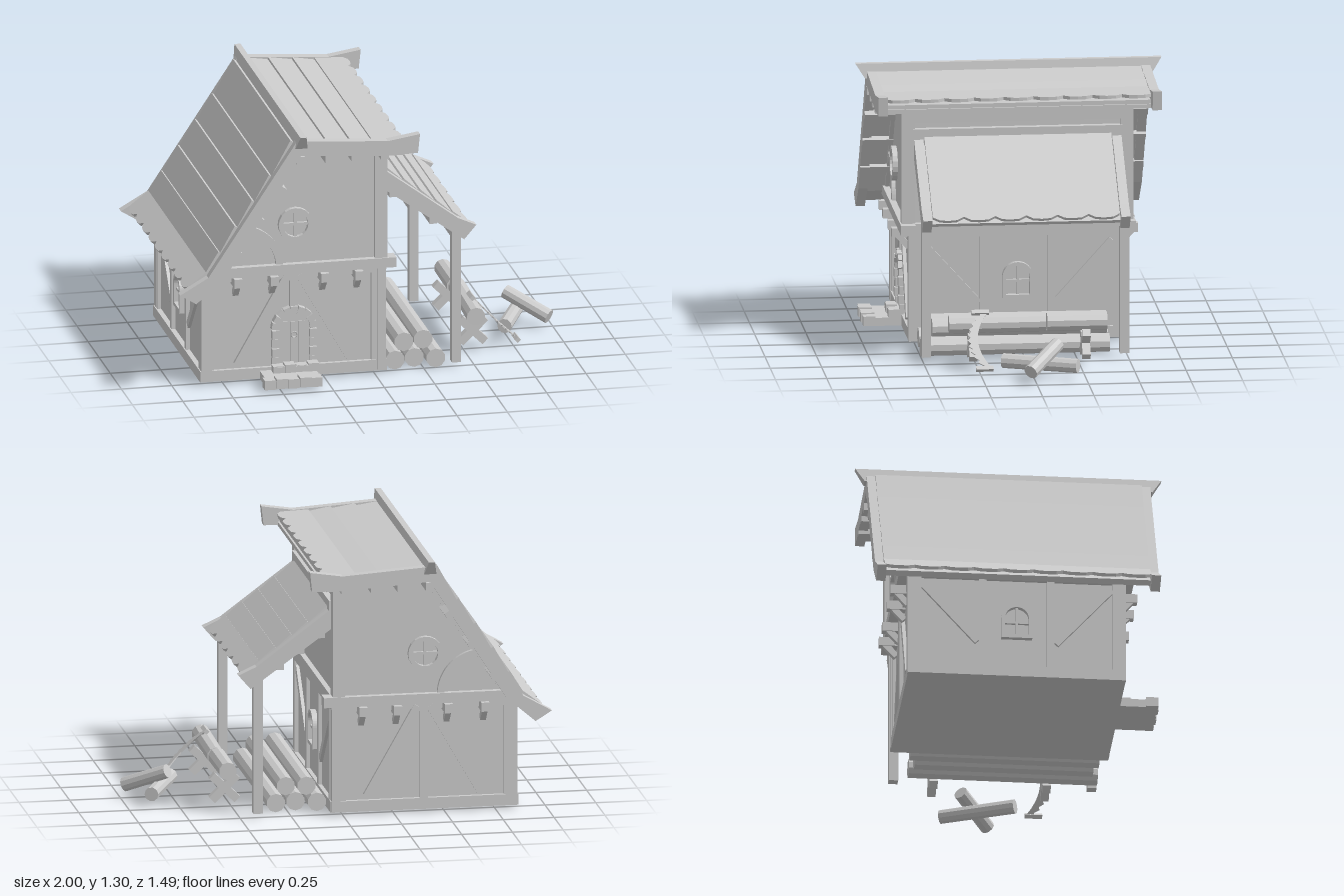
import * as THREE from 'three';

const mat = new THREE.MeshStandardMaterial({ color: 0xcccccc, flatShading: true });
const V = (x, y, z) => new THREE.Vector3(x, y, z);

export function createModel() {
  const root = new THREE.Group();
  root.name = 'cottage';

  const add = (name, geo, parent = root) => {
    const m = new THREE.Mesh(geo, mat);
    m.name = name;
    parent.add(m);
    return m;
  };
  const box = (name, x0, x1, y0, y1, z0, z1, parent = root) => {
    const m = add(name, new THREE.BoxGeometry(x1 - x0, y1 - y0, z1 - z0), parent);
    m.position.set((x0 + x1) / 2, (y0 + y1) / 2, (z0 + z1) / 2);
    return m;
  };
  // Lays a geometry whose long axis is y between two points
  const span = (m, a, b) => {
    m.position.copy(a).add(b).multiplyScalar(0.5);
    m.quaternion.setFromUnitVectors(V(0, 1, 0), b.clone().sub(a).normalize());
    return m;
  };
  const beam = (name, a, b, w, d, parent) =>
    span(add(name, new THREE.BoxGeometry(w, a.distanceTo(b), d), parent), a, b);
  const log = (name, a, b, r) =>
    span(add(name, new THREE.CylinderGeometry(r * 0.96, r, a.distanceTo(b), 10)), a, b);
  const shape = pts => new THREE.Shape(pts.map(p => new THREE.Vector2(p[0], p[1])));
  const extrude = (s, depth) => new THREE.ExtrudeGeometry(s, { depth, bevelEnabled: false, curveSegments: 10 });
  // Polygon in the xy plane, solid from z0 to z1
  const plate = (name, pts, z0, z1, parent) => {
    const m = add(name, extrude(shape(pts), z1 - z0), parent);
    m.position.z = z0;
    return m;
  };

  // Walls
  box('lowerWalls', -0.84, 0.04, 0.015, 0.57, -0.51, 0.51);
  plate('upperWalls', [[-0.81, 0.57], [0.035, 0.57], [0.03, 1.18], [-0.4, 1.2]], -0.54, 0.54);
  for (const z of [-1, 1]) for (const x of [-0.84, 0.035])
    box('cornerPost', x - 0.02, x + 0.02, 0.02, 0.56, z * 0.51 - 0.022, z * 0.51 + 0.022);
  box('baseBeam', -0.865, 0.06, 0.015, 0.07, -0.53, 0.53);

  // Front and back gable timberwork, made once facing +z and turned for the back
  for (const side of [1, -1]) {
    const g = new THREE.Group();
    g.name = side > 0 ? 'frontTimbers' : 'backTimbers';
    root.add(g);
    const zs = (a, b) => side > 0 ? [a, b] : [-b, -a];
    const bx = (n, x0, x1, y0, y1, a, b) => box(n, x0, x1, y0, y1, ...zs(a, b), g);
    bx('floorBeam', -0.86, 0.1, 0.55, 0.6, 0.5, 0.572);
    bx('upperCornerPost', -0.005, 0.055, 0.55, 1.17, 0.5, 0.565);
    bx('collarBeam', -0.39, 0.05, 1.145, 1.18, 0.5, 0.56);
    bx('centrePost', -0.42, -0.38, 0.34, 0.56, 0.5, 0.53);
    for (const x of [-0.81, 0]) bx('wallStud', x - 0.015, x + 0.015, 0.06, 0.55, 0.5, 0.525);
    bx('topRail', -0.84, 0.04, 0.515, 0.55, 0.5, 0.525);
    if (side < 0) bx('backPost', -0.42, -0.38, 0.06, 0.4, 0.5, 0.53);
    for (const m of [-1, 1])
      beam('diagonalBrace', V(-0.4 + m * 0.03, 0.53, side * 0.515), V(-0.4 + m * 0.28, 0.09, side * 0.515), 0.04, 0.025, g);
    beam('gableRafter', V(-0.8, 0.6, side * 0.545), V(-0.41, 1.185, side * 0.545), 0.05, 0.03, g);
    // Jetty joists with knee brackets
    for (const x of [-0.69, -0.51, -0.26, -0.09]) {
      bx('joistEnd', x - 0.02, x + 0.02, 0.505, 0.55, 0.5, 0.6);
      beam('kneeBracket', V(x, 0.455, side * 0.515), V(x, 0.52, side * 0.575), 0.028, 0.03, g);
    }
    // Quarter-round brace
    const arc = new THREE.Shape();
    arc.absarc(-0.68, 0.59, 0.22, 0, Math.PI * 0.55);
    arc.absarc(-0.68, 0.59, 0.185, Math.PI * 0.55, 0, true);
    add('curvedBrace', extrude(arc, 0.03), g).position.z = side > 0 ? 0.53 : -0.56;
    // Round window
    const w = new THREE.Group();
    w.name = 'roundWindow';
    w.position.set(-0.4, 0.8, side * 0.545);
    if (side < 0) w.rotation.y = Math.PI;
    g.add(w);
    const ring = new THREE.Shape().absarc(0, 0, 0.085, 0, Math.PI * 2);
    ring.holes.push(new THREE.Path().absarc(0, 0, 0.062, 0, Math.PI * 2));
    add('windowRing', extrude(ring, 0.025), w);
    box('windowBarUpright', -0.007, 0.007, -0.07, 0.07, 0, 0.015, w);
    box('windowBarLevel', -0.07, 0.07, -0.007, 0.007, 0, 0.015, w);
  }

  // Arched outline: half-width w, height h to the top of the arch
  const arch = (S, w, h, y0 = 0) => {
    const s = new S();
    s.moveTo(-w, y0);
    s.lineTo(w, y0);
    s.lineTo(w, h - w);
    s.absarc(0, h - w, w, 0, Math.PI);
    s.lineTo(-w, y0);
    return s;
  };

  // Side timberwork and arched windows
  for (const side of [1, -1]) {
    const x = side > 0 ? 0.045 : -0.845;
    const bar = (n, y0, y1, z0, z1) => box(n, x - 0.014, x + 0.014, y0, y1, z0, z1);
    bar('sideTopRail', 0.53, 0.57, -0.53, 0.53);
    for (const m of [-1, 1]) {
      bar('sideStud', 0.06, 0.54, m * 0.165 - 0.018, m * 0.165 + 0.018);
      bar('sideEndStud', 0.06, 0.54, m * 0.48 - 0.015, m * 0.48 + 0.015);
      beam('sideBrace', V(x, 0.5, m * 0.46), V(x, 0.2, m * 0.19), 0.022, 0.035);
    }
    const w = new THREE.Group();
    w.name = 'archedWindow';
    w.position.set(x - side * 0.008, 0.22, 0);
    w.rotation.y = side * Math.PI / 2;
    root.add(w);
    const frame = arch(THREE.Shape, 0.075, 0.18);
    frame.holes.push(arch(THREE.Path, 0.058, 0.163, 0.018));
    add('windowFrame', extrude(frame, 0.03), w);
    box('windowBarUpright', -0.006, 0.006, 0.01, 0.17, 0, 0.018, w);
    box('windowBarLevel', -0.06, 0.06, 0.08, 0.092, 0, 0.018, w);
  }
  box('upperSideBeam', 0.03, 0.06, 0.55, 0.6, -0.56, 0.56);
  box('upperSideRail', 0.03, 0.055, 1.1, 1.17, -0.56, 0.56);

  // Door with stone surround and steps
  const door = new THREE.Group();
  door.name = 'door';
  door.position.set(-0.4, 0.075, 0.5);
  root.add(door);
  add('doorLeaf', extrude(arch(THREE.Shape, 0.08, 0.27), 0.025), door);
  for (const x of [-0.04, 0, 0.04]) box('doorBatten', x - 0.016, x + 0.016, 0, 0.22, 0, 0.03, door);
  add('doorRing', new THREE.TorusGeometry(0.014, 0.004, 5, 10), door).position.set(0, 0.155, 0.034);
  for (const m of [-1, 1]) for (let i = 0; i < 4; i++)
    box('jambStone', m * 0.093 - 0.018, m * 0.093 + 0.018, i * 0.046, i * 0.046 + 0.043, 0, 0.04 + (i % 2) * 0.006, door);
  for (let i = 0; i < 9; i++) {
    const a = (i + 0.5) * Math.PI / 9;
    const s = add('archStone', new THREE.BoxGeometry(0.036, 0.034, 0.042 + (i % 2) * 0.006), door);
    s.position.set(0.095 * Math.cos(a), 0.186 + 0.095 * Math.sin(a), 0.022);
    s.rotation.z = a;
  }
  box('lowerStep', -0.57, -0.3, 0.015, 0.055, 0.53, 0.71);
  box('upperStep', -0.51, -0.3, 0.05, 0.085, 0.52, 0.59);
  for (let i = 0; i < 5; i++) {
    const x = -0.585 + i * 0.058;
    box('stepStone', x, x + 0.054, 0.015 + (i % 2) * 0.006, 0.062 + (i % 2) * 0.006, 0.655, 0.715 + (i % 2) * 0.006);
    if (i < 4) box('upperStepStone', x + 0.07, x + 0.122, 0.055, 0.088 + (i % 2) * 0.008, 0.54, 0.585 + (i % 2) * 0.008);
  }

  // One row of scalloped shingles from lower point a up to b (x, y), spanning z -half..half
  const shingleRow = (a, b, half, count, shift) => {
    const up = V(b[0] - a[0], b[1] - a[1], 0);
    const len = up.length() + 0.025, step = 2 * half / count, pts = [];
    up.normalize();
    const normal = V(-up.y, up.x, 0).multiplyScalar(Math.sign(up.x));
    for (let i = -1; i <= count; i++)
      for (const [t, v] of [[0, 0.024], [0.22, 0.004], [0.5, 0], [0.78, 0.004]]) {
        const u = -half + (i + t + shift) * step;
        if (u >= -half - 1e-6 && u <= half + 1e-6) pts.push([u, v]);
      }
    pts.push([half, len], [-half, len]);
    const m = add('shingleRow', extrude(shape(pts), 0.016));
    const x = new THREE.Vector3().crossVectors(up, normal);
    m.quaternion.setFromRotationMatrix(new THREE.Matrix4().makeBasis(x, up, normal));
    m.rotateX(0.09);
    m.position.set(a[0], a[1], 0).addScaledVector(normal, 0.008);
  };
  const shingles = (pts, half, count) => {
    for (let i = 0; i < pts.length - 1; i++) shingleRow(pts[i], pts[i + 1], half, count, (i % 2) * 0.5);
  };

  // Main roof: decks, shingles, barge boards, ridge, purlins
  plate('leftRoofDeck', [[-0.4, 1.2], [-0.4, 1.24], [-0.84, 0.59], [-0.94, 0.52], [-0.92, 0.5], [-0.81, 0.57]], -0.65, 0.65);
  plate('rightRoofDeck', [[-0.4, 1.19], [0.03, 1.17], [0.1, 1.175], [0.1, 1.2], [0.03, 1.195], [-0.4, 1.225]], -0.65, 0.65);
  shingles([[-0.955, 0.515], [-0.86, 0.575], [-0.785, 0.675], [-0.7, 0.8], [-0.615, 0.925], [-0.53, 1.05], [-0.42, 1.215]], 0.648, 9);
  shingles([[0.12, 1.205], [-0.015, 1.198], [-0.13, 1.208], [-0.25, 1.217], [-0.38, 1.225]], 0.648, 9);
  for (const z of [-0.69, 0.645]) {
    plate('leftBargeBoard', [[-0.42, 1.265], [-0.86, 0.6], [-1, 0.52], [-0.92, 0.47], [-0.78, 0.59], [-0.4, 1.19], [-0.39, 1.26]], z, z + 0.045);
    plate('rightBargeBoard', [[-0.41, 1.19], [0.03, 1.16], [0.18, 1.165], [0.19, 1.26], [0.03, 1.235], [-0.41, 1.265]], z, z + 0.045);
  }
  const ridge = new THREE.BoxGeometry(0.06, 0.07, 1.49), rp = ridge.attributes.position;
  for (let i = 0; i < rp.count; i++) {
    if (rp.getY(i) > 0) rp.setX(i, rp.getX(i) * 0.5);
    else rp.setZ(i, rp.getZ(i) * 0.94);
  }
  add('ridgeCap', ridge).position.set(-0.4, 1.265, 0);
  for (const x of [-0.4, -0.26, -0.13, 0.015]) box('roofPurlin', x - 0.02, x + 0.02, 1.145, 1.185, -0.69, 0.69);
  box('eavePurlin', 0.04, 0.11, 1.16, 1.18, -0.69, 0.69);
  for (const [x, y] of [[-0.5, 1.02], [-0.61, 0.87], [-0.72, 0.71]])
    box('slopePurlin', x - 0.02, x + 0.02, y - 0.022, y + 0.022, -0.69, 0.69).rotation.z = 0.99;

  // Lean-to
  plate('leanToDeck', [[0.05, 0.97], [0.41, 0.705], [0.46, 0.675], [0.47, 0.69], [0.42, 0.725], [0.05, 1.0]], -0.47, 0.47);
  shingles([[0.475, 0.69], [0.405, 0.735], [0.32, 0.797], [0.24, 0.857], [0.16, 0.917], [0.06, 0.99]], 0.455, 6);
  for (const z of [-0.505, 0.46]) {
    plate('leanToBargeBoard', [[0.05, 0.93], [0.4, 0.68], [0.45, 0.645], [0.51, 0.715], [0.42, 0.755], [0.05, 1.03]], z, z + 0.045);
    box('leanToPost', 0.39, 0.435, 0.02, 0.69, z, z + 0.045);
  }
  box('leanToWallPlate', 0.03, 0.065, 0.99, 1.07, -0.51, 0.51);
  for (const [x, y] of [[0.41, 0.67], [0.3, 0.75], [0.2, 0.825], [0.1, 0.9]])
    box('leanToPurlin', x - 0.018, x + 0.018, y - 0.02, y + 0.02, -0.49, 0.49);

  // Stacked logs
  [[0.11, 0.048, 0.49, -0.43], [0.21, 0.048, 0.47, -0.4], [0.31, 0.048, 0.5, -0.42], [0.16, 0.128, 0.46, -0.42], [0.26, 0.128, 0.44, -0.41]]
    .forEach(([x, y, z0, z1]) => log('stackedLog', V(x, y, z0), V(x, y, z1), 0.048));

  // Sawhorse with a part-sawn log
  for (const z of [-0.28, 0.27]) for (const m of [-1, 1])
    beam('sawhorseLeg', V(0.54 - m * 0.062, 0.045, z), V(0.54 + m * 0.062, 0.165, z), 0.04, 0.04);
  log('sawnLog', V(0.535, 0.205, 0.385), V(0.545, 0.208, -0.085), 0.046);
  log('sawnLogEnd', V(0.54, 0.208, -0.092), V(0.54, 0.208, -0.385), 0.046);

  // Crescent two-handed saw leaning on the log
  const L = 0.32, blade = [];
  for (let i = 0; i <= 20; i++) {
    const t = i / 20, bow = 0.07 * (2 * t - 1) ** 2;
    blade.push([t * L, 0.305 - bow - (i % 2) * 0.015]);
  }
  for (let i = 8; i >= 0; i--) {
    const t = i / 8;
    blade.push([t * L, 0.255 - 0.06 * (2 * t - 1) ** 2]);
  }
  const saw = new THREE.Group();
  saw.name = 'saw';
  saw.position.set(0.545, 0.265, 0);
  const dir = V(0.7, -0.714, 0).normalize();
  saw.quaternion.setFromRotationMatrix(new THREE.Matrix4().makeBasis(dir, V(0, 0, 1), V(dir.y, -dir.x, 0)));
  root.add(saw);
  add('sawBlade', extrude(shape(blade), 0.006), saw);
  for (const u of [0, L]) box('sawHandle', u - 0.01, u + 0.01, 0.19, 0.275, -0.008, 0.014, saw);

  // Loose logs
  log('looseLog', V(0.73, 0.065, 0.14), V(0.885, 0.065, -0.21), 0.036);
  log('leaningLog', V(0.975, 0.06, 0.03), V(0.79, 0.155, -0.12), 0.036);

  return root;
}
